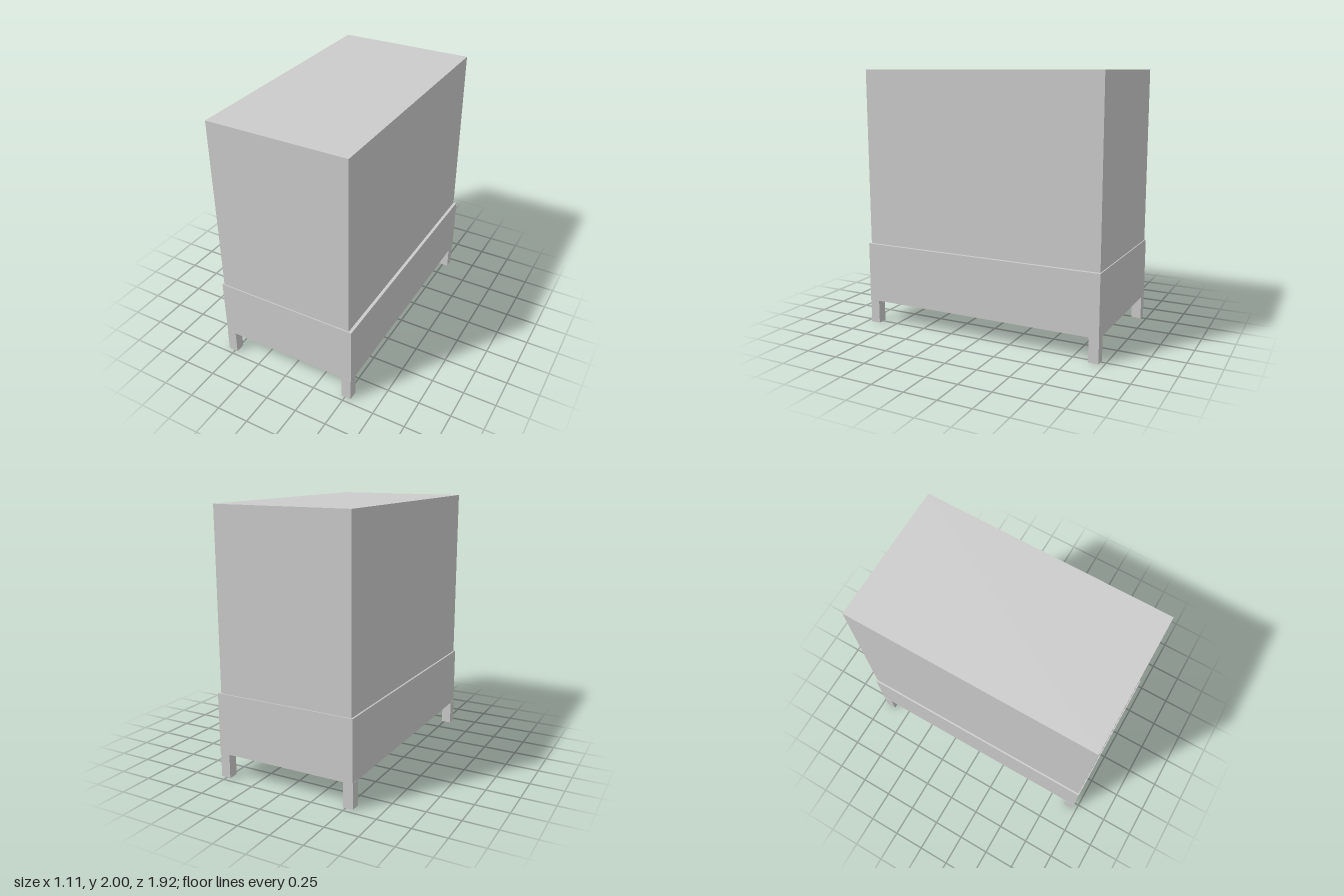
import * as THREE from 'three';

const material = new THREE.MeshStandardMaterial({ color: 0xcccccc, flatShading: true });

// Box given by its lower and upper limits on each axis
function block(name, [x0, x1], [y0, y1], [z0, z1]) {
  const mesh = new THREE.Mesh(new THREE.BoxGeometry(x1 - x0, y1 - y0, z1 - z0), material);
  mesh.position.set((x0 + x1) / 2, (y0 + y1) / 2, (z0 + z1) / 2);
  mesh.name = name;
  return mesh;
}

export function createModel() {
  const group = new THREE.Group();
  group.name = 'cabinetOnStand';

  // Tall cabinet body, set in slightly from the base
  group.add(block('cabinetBody', [-0.54, 0.527], [0.645, 2], [-0.952, 0.954]));

  // Wide base box
  group.add(block('base', [-0.553, 0.551], [0.185, 0.647], [-0.96, 0.962]));

  // Four square legs at the base corners
  for (const [side, xs] of [['Right', [-0.555, -0.479]], ['Left', [0.471, 0.547]]]) {
    for (const [end, zs] of [['front', [0.887, 0.963]], ['back', [-0.959, -0.883]]]) {
      group.add(block(`${end}${side}Leg`, xs, [0, 0.19], zs));
    }
  }
  return group;
}
